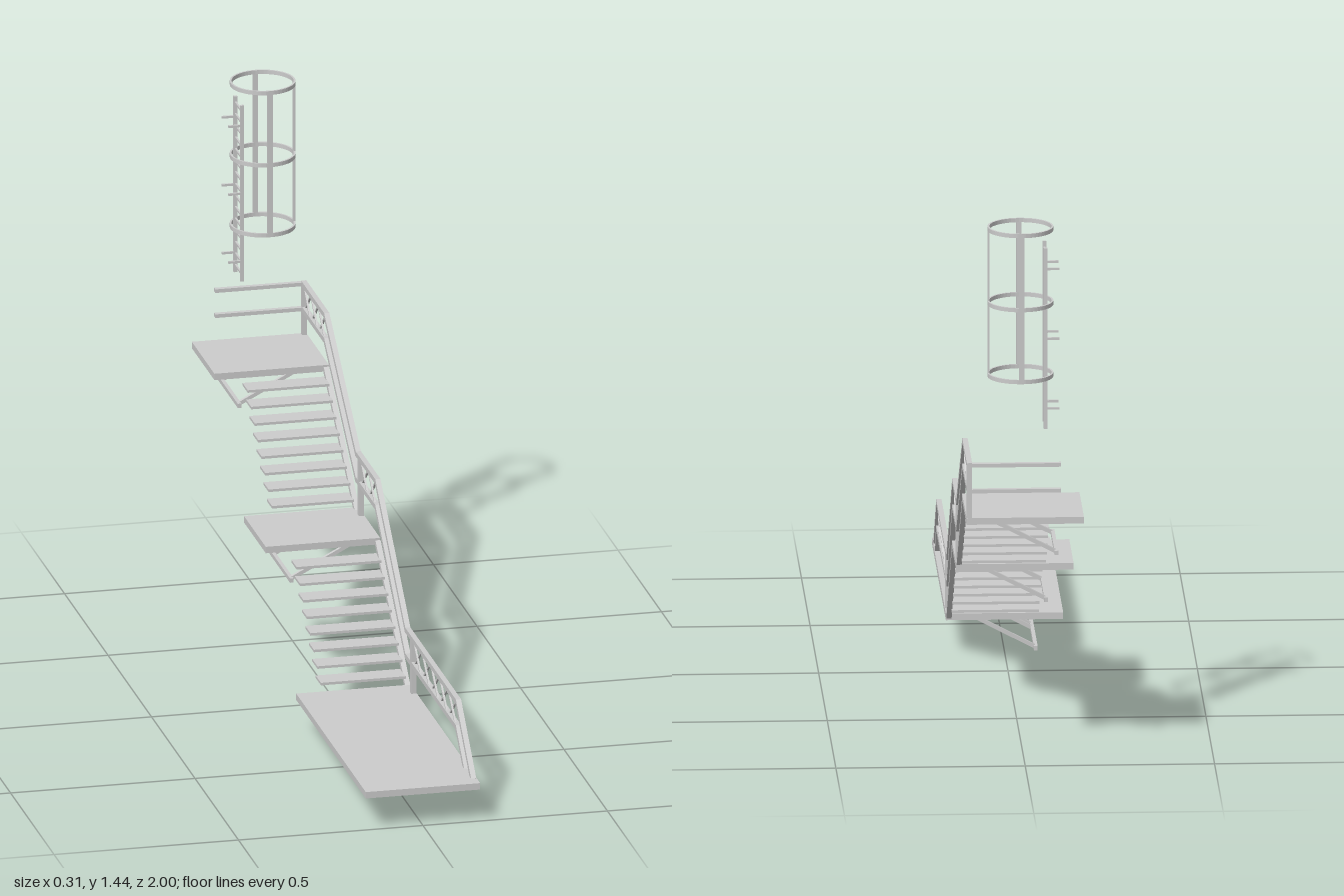
import * as THREE from 'three';

export function createModel() {
  const model = new THREE.Group();
  const mat = new THREE.MeshStandardMaterial({ color: 0xcccccc });
  const RAIL_X = 0.147, T = 0.014;

  const add = (geo, name, parent = model) => {
    const mesh = new THREE.Mesh(geo, mat);
    mesh.name = name;
    parent.add(mesh);
    return mesh;
  };
  const group = (name) => {
    const g = new THREE.Group();
    g.name = name;
    model.add(g);
    return g;
  };
  // axis-aligned box given by its two extreme corners
  const box = (x0, x1, y0, y1, z0, z1, name, parent) =>
    add(new THREE.BoxGeometry(x1 - x0, y1 - y0, Math.abs(z1 - z0)), name, parent)
      .position.set((x0 + x1) / 2, (y0 + y1) / 2, (z0 + z1) / 2);
  // square bar between two points
  const bar = (a, b, w, name, parent) => {
    const p = new THREE.Vector3(...a), q = new THREE.Vector3(...b);
    const m = add(new THREE.BoxGeometry(w, w, p.distanceTo(q)), name, parent);
    m.position.copy(p).add(q).multiplyScalar(0.5);
    m.lookAt(q);
    return m;
  };
  // mitred rail following [z, y] points in the plane of the handrail
  const rail = (pts, name, parent) => {
    const v = pts.map(([z, y]) => new THREE.Vector2(-z, y));
    const normal = (i) => {
      const d = v[i + 1].clone().sub(v[i]).normalize();
      return new THREE.Vector2(-d.y, d.x);
    };
    const off = v.map((_, i) => {
      const n0 = normal(Math.max(i - 1, 0)), n1 = normal(Math.min(i, v.length - 2));
      return n0.clone().add(n1).multiplyScalar(T / 2 / (1 + n0.dot(n1)));
    });
    const upper = v.map((p, i) => p.clone().add(off[i]));
    const lower = v.map((p, i) => p.clone().sub(off[i]));
    const geo = new THREE.ExtrudeGeometry(new THREE.Shape([...lower, ...upper.reverse()]),
      { depth: T, bevelEnabled: false });
    geo.rotateY(Math.PI / 2).translate(RAIL_X - T / 2, 0, 0);
    add(geo, name, parent);
  };

  // platforms: front z, back z, top y
  const platforms = [
    [1.0, 0.2, 0.11, 'lowerPlatform'],
    [-0.15, -0.4, 0.4, 'middlePlatform'],
    [-0.74, -1.0, 0.681, 'upperPlatform'],
  ];
  for (const [z0, z1, y, name] of platforms) box(-0.155, 0.155, y - 0.018, y, z0, z1, name);

  // sloping support brackets, each with two legs and a foot bar
  const brackets = [[0.68, 0.447, 0.01], [0.447, 0.213, 0.01], [-0.156, -0.39, 0.298], [-0.756, -0.986, 0.58]];
  for (const [z0, z1, y] of brackets) {
    const g = group('supportBracket');
    for (const z of [z0 - 0.017, z1 + 0.017])
      bar([0.08, y + 0.085, z], [-0.083, y, z], 0.01, 'bracketLeg', g);
    box(-0.088, -0.078, y - 0.006, y + 0.006, z0, z1, 'bracketFoot', g);
  }

  // two flights of eight thin treads
  const flights = [[-0.088, 0.2, 0.131, 'lowerFlight'], [-0.08, -0.395, 0.42, 'upperFlight']];
  for (const [x0, z0, y0, name] of flights) {
    const g = group(name);
    for (let i = 0; i < 8; i++) {
      const z = z0 - i * 0.04, y = y0 + i * 0.0325;
      box(x0, 0.142, y - 0.0035, y + 0.0035, z - 0.06, z, 'tread', g);
    }
  }

  // stringers and continuous handrails along one side
  const railing = group('railing');
  rail([[0.2, 0.103], [-0.145, 0.392]], 'lowerStringer', railing);
  rail([[-0.38, 0.392], [-0.74, 0.672]], 'upperStringer', railing);
  rail([[0.955, 0.105], [0.782, 0.264], [0.2, 0.264], [-0.145, 0.561], [-0.37, 0.561],
    [-0.732, 0.823], [-0.995, 0.823]], 'handrail', railing);
  rail([[0.875, 0.105], [0.78, 0.192], [0.2, 0.192], [-0.145, 0.489], [-0.37, 0.489],
    [-0.732, 0.753], [-0.995, 0.753]], 'middleRail', railing);
  for (const [z, y0, y1] of [[0.265, 0.1, 0.264], [-0.337, 0.39, 0.561], [-0.991, 0.665, 0.829]])
    box(RAIL_X - T / 2, RAIL_X + T / 2, y0, y1, z - T / 2, z + T / 2, 'railPost', railing);
  for (const y of [0.823, 0.753])
    box(-0.095, 0.154, y - T / 2 + 0.002, y + T / 2 - 0.002, -0.998, -0.984, 'backRail', railing);

  // crossed lattice between the rails
  for (const [z0, z1, y0, y1, n] of [
    [0.77, 0.27, 0.192, 0.264, 5], [-0.155, -0.335, 0.489, 0.561, 2], [-0.738, -0.988, 0.753, 0.823, 3]]) {
    const s = (z1 - z0) / n;
    for (let i = 0; i < n; i++) {
      const a = z0 + (i + 0.06) * s, b = z0 + (i + 0.94) * s;
      bar([RAIL_X - 0.002, y0, a], [RAIL_X - 0.002, y1, b], 0.005, 'latticeBar', railing);
      bar([RAIL_X + 0.002, y1, a], [RAIL_X + 0.002, y0, b], 0.005, 'latticeBar', railing);
    }
  }

  // ladder with rungs and wall stand-offs
  const ladder = group('ladder');
  const CZ = -0.873;
  for (const z of [CZ - 0.038, CZ + 0.038]) {
    box(-0.063, -0.053, 0.9, 1.392, z - 0.004, z + 0.004, 'ladderRail', ladder);
    for (const y of [0.955, 1.145, 1.335])
      box(-0.095, -0.058, y - 0.003, y + 0.003, z - 0.003, z + 0.003, 'standOff', ladder);
  }
  for (let i = 0; i < 15; i++)
    bar([-0.058, 0.92 + i * 0.0325, CZ - 0.038], [-0.058, 0.92 + i * 0.0325, CZ + 0.038], 0.005, 'rung', ladder);

  // safety cage: flat hoops joined by three flat uprights
  const cage = group('safetyCage');
  cage.position.set(0.007, 0, CZ);
  const R = 0.087, W = 0.005;
  const ring = new THREE.Shape().absarc(0, 0, R, 0, Math.PI * 2);
  ring.holes.push(new THREE.Path().absarc(0, 0, R - W, 0, Math.PI * 2, true));
  const hoop = new THREE.ExtrudeGeometry(ring, { depth: 0.011, bevelEnabled: false, curveSegments: 24 });
  hoop.rotateX(-Math.PI / 2);
  for (const y of [1.034, 1.23, 1.432]) add(hoop, 'hoop', cage).position.y = y;
  for (const a of [-Math.PI / 2, 0, Math.PI / 2]) {
    const upright = add(new THREE.BoxGeometry(W, 0.405, 0.014), 'upright', cage);
    upright.position.set(Math.cos(a) * (R - W / 2), 1.238, Math.sin(a) * (R - W / 2));
    upright.rotation.y = -a;
  }
  return model;
}
